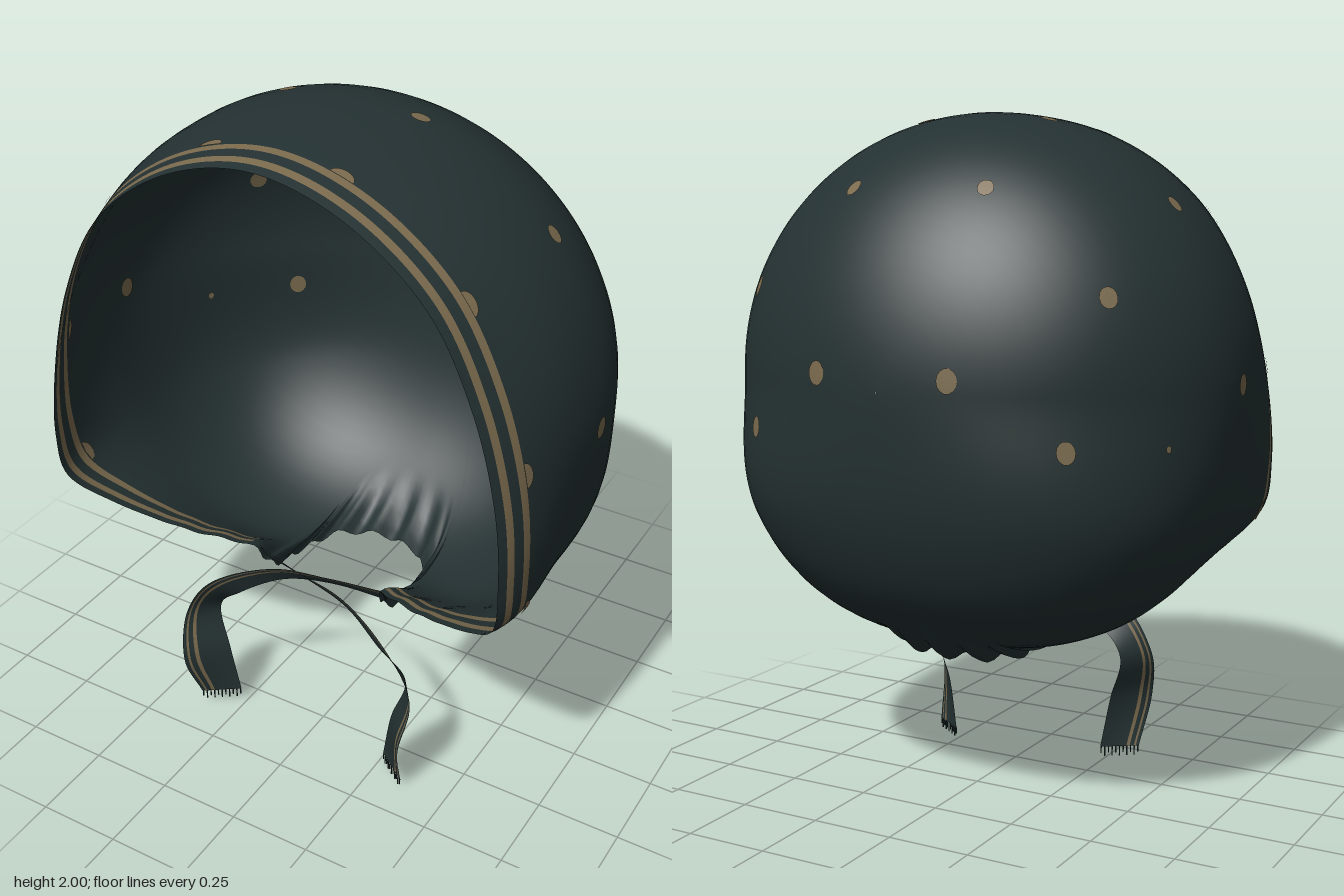
import * as THREE from 'three';

const V = (x, y, z) => new THREE.Vector3(x, y, z);
const { smoothstep, lerp } = THREE.MathUtils;
const CENTRE = V(0, 1.25, 0.1);

// Free edge of the hood: face opening from the top, chin corner, then neckline
const half = [
  [0.26, 1.895, 0.54], [0.49, 1.72, 0.54], [0.62, 1.48, 0.54], [0.695, 1.2, 0.54],
  [0.715, 0.98, 0.545], [0.7, 0.84, 0.53], [0.6, 0.74, 0.46], [0.4, 0.655, 0.37],
  [0.22, 0.6, 0.28], [0.2, 0.5, 0.21], [0.2, 0.45, 0.05], [0.15, 0.44, -0.1],
].map((p) => V(...p));
const edge = new THREE.CatmullRomCurve3([
  V(0, 1.96, 0.54), ...half, V(0, 0.44, -0.16),
  ...half.slice().reverse().map((p) => V(-p.x, p.y, p.z)),
], true);
edge.arcLengthDivisions = 600;
const edgeLength = edge.getLength();

// Radius of the rounded crown in a direction from the centre
function crownRadius(d) {
  const p = 2 + 0.45 * smoothstep(-d.y, 0, 0.5);
  const depth = d.z < 0 ? 0.647 : 0.85 + 0.5 * Math.max(0, d.y);
  const f = (Math.abs(d.x) / 0.778) ** p
    + (Math.abs(d.y) / (d.y > 0 ? 0.75 : 0.81)) ** p
    + (Math.abs(d.z) / depth) ** p;
  return f ** (-1 / p);
}

// One meridian of the hood, from the back pole to the free edge at u
function meridian(u) {
  const end = edge.getPointAt(((u % 1) + 1) % 1);
  const e = end.clone().sub(CENTRE);
  const rEnd = e.length();
  e.normalize();
  const angle = Math.acos(-e.z);
  const side = V(e.x, e.y, 0).normalize();
  const fit = rEnd / crownRadius(e);
  const gather = 1 - smoothstep(end.y, 0.46, 0.72);
  const at = (t) => {
    const d = side.clone().multiplyScalar(Math.sin(t * angle));
    d.z = -Math.cos(t * angle);
    const w = smoothstep(t, 0.78, 1);
    const ripple = 1 + 0.018 * gather * w * Math.cos(u * Math.PI * 96);
    return d.multiplyScalar(crownRadius(d) * lerp(1, fit, w) * ripple).add(CENTRE);
  };
  return { end, at, fromEdge: (dist) => at(1 - dist / (angle * 0.85)), tAt: (dist) => 1 - dist / (angle * 0.85) };
}

// Mesh from rows of points; paint(row, column) picks the material index
function gridMesh(name, rows, closed, paint, materials) {
  const n = rows[0].length;
  const lists = materials.map(() => []);
  for (let j = 0; j < rows.length - 1; j++) {
    for (let i = 0; i < (closed ? n : n - 1); i++) {
      const a = j * n + i, b = j * n + ((i + 1) % n), c = a + n, d = b + n;
      lists[paint(j, i)].push(a, c, b, b, c, d);
    }
  }
  const g = new THREE.BufferGeometry().setFromPoints(rows.flat());
  g.setIndex(lists.flat());
  let start = 0;
  lists.forEach((l, m) => { g.addGroup(start, l.length, m); start += l.length; });
  g.computeVertexNormals();
  const mesh = new THREE.Mesh(g, materials);
  mesh.name = name;
  return mesh;
}

export function createModel() {
  const model = new THREE.Group();
  model.name = 'bonnet';
  const fabric = new THREE.MeshStandardMaterial({ color: 0x243132, side: THREE.DoubleSide });
  fabric.name = 'dark green fabric';
  const gold = new THREE.MeshStandardMaterial({ color: 0x7b6b4e, side: THREE.DoubleSide });
  gold.name = 'dull gold print';
  const materials = [fabric, gold];

  // Hood shell, with two printed stripes following the face opening
  const NU = 288, CROWN = 30;
  const bands = [0.115, 0.09, 0.055, 0.03, 0];
  const lines = Array.from({ length: NU }, (_, i) => meridian(i / NU));
  const rows = [];
  for (let j = 0; j < CROWN; j++) {
    rows.push(lines.map((m) => m.at(lerp(0.001, m.tAt(bands[0]), j / CROWN))));
  }
  bands.forEach((dist) => rows.push(lines.map((m) => m.fromEdge(dist))));
  const stripe = (j, i) => ((j === CROWN || j === CROWN + 2) && lines[i].end.y > 0.61 ? 1 : 0);
  model.add(gridMesh('hood', rows, true, stripe, materials));

  // Printed dots, seen both outside and inside
  function addDot(name, centre, rim) {
    for (const k of [1.005, 0.995]) {
      const pts = [centre, ...rim].map((p) => p.clone().sub(CENTRE).multiplyScalar(k).add(CENTRE));
      const g = new THREE.BufferGeometry().setFromPoints(pts);
      const index = [];
      for (let i = 1; i < pts.length - 1; i++) index.push(0, i, i + 1);
      g.setIndex(index);
      g.computeVertexNormals();
      const dot = new THREE.Mesh(g, gold);
      dot.name = name;
      model.add(dot);
    }
  }
  const onCrown = (p) => {
    const d = p.clone().sub(CENTRE).normalize();
    return d.multiplyScalar(crownRadius(d)).add(CENTRE);
  };
  const dots = [
    [0.59, 1.74, 0.05, 0.027], [0.2, 1.97, 0.055, 0.027], [0.21, 1.79, -0.33, 0.027],
    [0.57, 1.51, -0.31, 0.03], [0.205, 1.29, -0.53, 0.034], [0.49, 1.11, -0.41, 0.03],
    [0.77, 1.25, 0.1, 0.031], [0.72, 1.1, -0.22, 0.01],
  ];
  for (const s of [1, -1]) {
    for (const [x, y, z, r] of dots) {
      const c = onCrown(V(s * x, y, z));
      const n = c.clone().sub(CENTRE).normalize();
      const across = V(0, 1, 0).cross(n).normalize();
      const up = n.clone().cross(across);
      const rim = Array.from({ length: 15 }, (_, i) => {
        const a = (i / 14) * Math.PI * 2;
        return onCrown(c.clone().addScaledVector(across, 0.85 * r * Math.cos(a)).addScaledVector(up, r * Math.sin(a)));
      });
      addDot('dot', c, rim);
    }
    // Half dots resting on the inner stripe
    for (const arc of [0.19, 0.61, 1.05, 1.47]) {
      const u = (s * arc) / edgeLength;
      const rim = Array.from({ length: 11 }, (_, i) => {
        const a = (i / 10) * Math.PI;
        return meridian(u + (0.034 * Math.cos(a)) / edgeLength).fromEdge(0.113 + 0.028 * Math.sin(a));
      });
      addDot('halfDot', meridian(u).fromEdge(0.113), rim);
    }
  }

  // Ribbon ties: centre line and half-width vector at each station
  const path = [
    [-0.21, 0.56, 0.24], [-0.05, 0.57, 0.29], [0.12, 0.545, 0.315], [0.27, 0.475, 0.36],
    [0.36, 0.35, 0.36], [0.335, 0.2, 0.39], [0.31, 0.03, 0.36],
  ];
  const spread = [
    [0, 0.03, 0.02], [0, 0.024, 0.02], [0.005, 0.03, 0.02], [0.028, 0.03, 0.03],
    [0.032, 0.005, 0.045], [0.045, 0, 0.06], [0.05, 0, 0.036],
  ];
  const across = [-1, -0.5, 0, 0.35, 0.52, 0.74, 0.84, 1];
  function addTie(name, s, lift, behind) {
    const tie = new THREE.Group();
    tie.name = name;
    const centre = new THREE.CatmullRomCurve3(path.map(([x, y, z], i) => V(
      s * x, y + lift * (i / 6) ** 2, z - behind * Math.sin((Math.PI * Math.min(i, 3)) / 3))));
    const width = new THREE.CatmullRomCurve3(spread.map(([x, y, z]) => V(s * x, y, z)));
    const point = (t, k) => centre.getPoint(t).addScaledVector(width.getPoint(t), k);
    const strip = Array.from({ length: 49 }, (_, j) => across.map((k) => point(j / 48, k)));
    tie.add(gridMesh('ribbon', strip, false, (j, i) => (i === 3 || i === 5 ? 1 : 0), materials));
    // Frayed threads along the cut end
    for (let i = 0; i < 11; i++) {
      const length = 0.02 + 0.01 * (i % 2);
      const thread = new THREE.Mesh(new THREE.BoxGeometry(0.003, length, 0.003), fabric);
      thread.name = 'fringeThread';
      thread.position.copy(point(1, -0.95 + 0.19 * i));
      thread.position.y -= length / 2;
      tie.add(thread);
    }
    model.add(tie);
  }
  addTie('leftTie', 1, 0, 0);
  addTie('rightTie', -1, 0.025, 0.02);

  return model;
}
